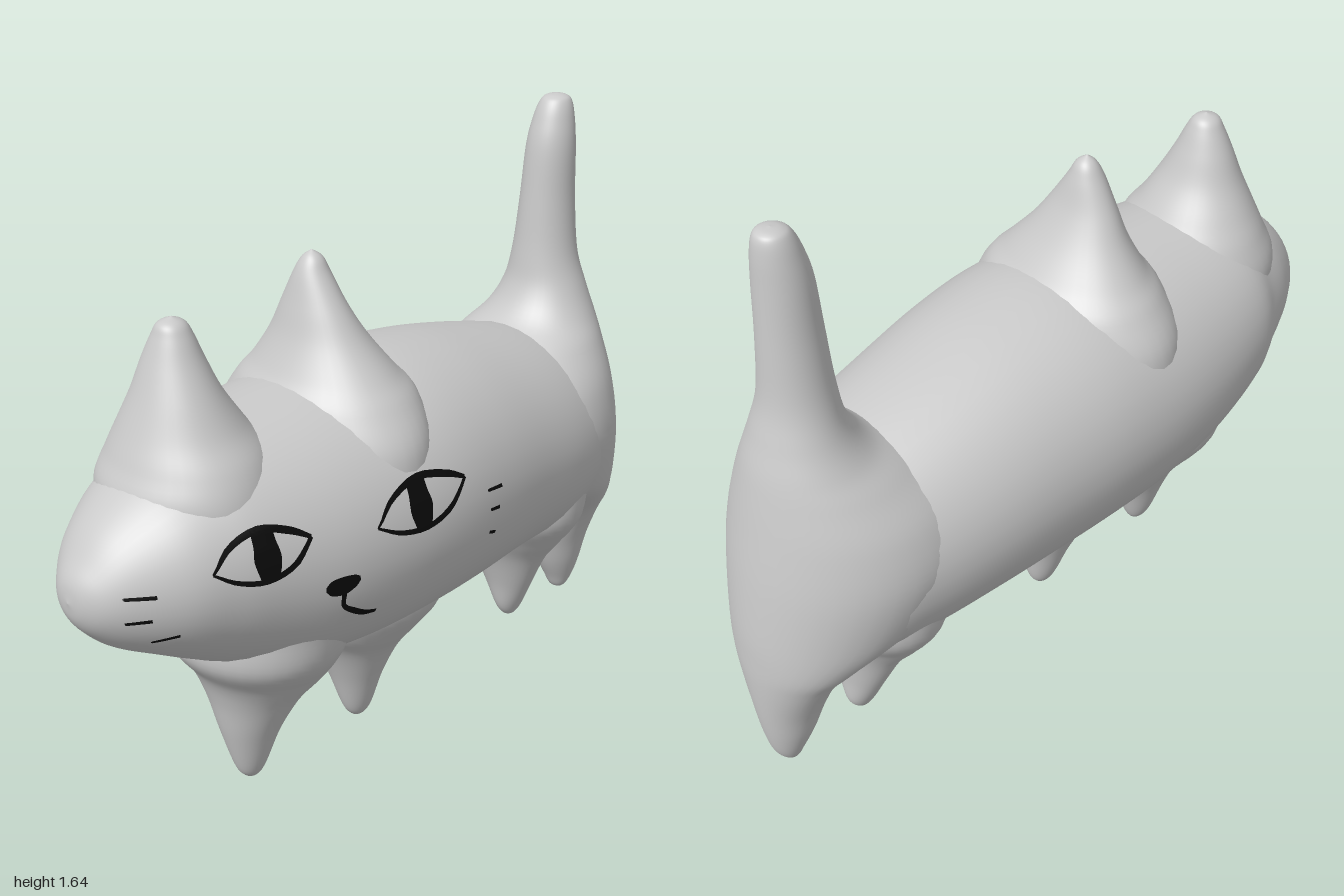
import * as THREE from 'three';

const RING = 40;

// Smooth closed loft. Rows: [position along axis, low edge, high edge, z centre, z half-depth]
function loft(axis, rows, steps = 6) {
  const curve = f => new THREE.CatmullRomCurve3(rows.map(f), false, 'catmullrom', 0.5);
  const edge = curve(r => new THREE.Vector3(r[0], r[1], r[2]));
  const depth = curve(r => new THREE.Vector3(r[3], r[4], 0));
  const n = (rows.length - 1) * steps, pos = [], idx = [];
  for (let i = 0; i <= n; i++) {
    const e = edge.getPoint(i / n), d = depth.getPoint(i / n);
    const mid = (e.y + e.z) / 2, half = Math.max((e.z - e.y) / 2, 0);
    for (let j = 0; j < RING; j++) {
      const a = j / RING * Math.PI * 2;
      const side = mid + half * Math.cos(a), z = Math.max(d.y, 0) * Math.sin(a);
      if (axis === 'x') pos.push(e.x, side, d.x - z);
      else pos.push(side, e.x, d.x + z);
      if (i < n) {
        const k = (j + 1) % RING, p = i * RING, q = p + RING;
        idx.push(p + j, q + j, q + k, p + j, q + k, p + k);
      }
    }
  }
  const g = new THREE.BufferGeometry();
  g.setAttribute('position', new THREE.Float32BufferAttribute(pos, 3));
  g.setIndex(idx);
  g.computeVertexNormals();
  return g;
}

export function createModel() {
  const group = new THREE.Group();
  const fur = new THREE.MeshStandardMaterial({ color: 0xcacaca });
  fur.name = 'grey fur';
  const ink = new THREE.MeshStandardMaterial({ color: 0x0a0a0a, side: THREE.DoubleSide });
  ink.name = 'black ink';

  const plush = [];
  const part = (name, axis, rows) => {
    const m = new THREE.Mesh(loft(axis, rows), fur);
    m.name = name;
    group.add(m);
    plush.push(m);
  };

  // Long padded body, nose end at -x
  part('body', 'x', [
    [-1, 0.76, 0.76, 0.03, 0], [-0.99, 0.71, 0.81, 0.03, 0.05], [-0.96, 0.665, 0.855, 0.03, 0.1],
    [-0.9, 0.61, 0.925, 0.025, 0.16], [-0.8, 0.555, 1.0, 0.025, 0.23], [-0.7, 0.5, 1.05, 0.02, 0.275],
    [-0.6, 0.45, 1.085, 0.01, 0.315], [-0.4, 0.385, 1.1, 0.01, 0.362], [-0.2, 0.36, 1.11, 0.005, 0.385],
    [0, 0.355, 1.12, -0.002, 0.388], [0.2, 0.355, 1.1, -0.012, 0.373], [0.4, 0.36, 1.06, -0.025, 0.35],
    [0.6, 0.36, 1.01, -0.032, 0.32], [0.75, 0.38, 0.96, -0.04, 0.28], [0.85, 0.45, 0.9, -0.04, 0.21],
    [0.93, 0.66, 0.7, -0.04, 0.03]]);

  // Rump running from the last leg up into the upright tail
  part('rumpAndTail', 'y', [
    [0.03, 0.915, 0.915, -0.04, 0], [0.04, 0.89, 0.935, -0.04, 0.025], [0.08, 0.868, 0.96, -0.04, 0.045],
    [0.15, 0.832, 0.977, -0.04, 0.07], [0.25, 0.795, 0.99, -0.04, 0.1], [0.36, 0.755, 0.997, -0.04, 0.15],
    [0.44, 0.66, 0.997, -0.04, 0.205], [0.54, 0.45, 0.992, -0.04, 0.265], [0.7, 0.32, 0.973, -0.04, 0.305],
    [0.84, 0.36, 0.95, -0.04, 0.28], [0.95, 0.5, 0.93, -0.04, 0.215], [1.02, 0.61, 0.915, -0.04, 0.165],
    [1.1, 0.665, 0.892, -0.04, 0.125], [1.2, 0.684, 0.868, -0.042, 0.095], [1.35, 0.697, 0.858, -0.042, 0.078],
    [1.5, 0.71, 0.851, -0.04, 0.07], [1.58, 0.73, 0.847, -0.04, 0.058], [1.625, 0.75, 0.84, -0.04, 0.044],
    [1.64, 0.77, 0.825, -0.04, 0.028], [1.645, 0.798, 0.798, -0.04, 0]]);

  // Ears with wide bases melting into the back
  part('rightEar', 'y', [
    [0.85, -0.8, -0.42, 0.01, 0.25], [0.95, -0.83, -0.41, 0.01, 0.24], [1.03, -0.8, -0.43, 0.01, 0.21],
    [1.1, -0.77, -0.475, 0.005, 0.165], [1.18, -0.737, -0.527, 0.005, 0.12], [1.26, -0.706, -0.56, 0, 0.082],
    [1.32, -0.682, -0.583, 0, 0.053], [1.35, -0.667, -0.6, 0, 0.033], [1.365, -0.632, -0.632, 0, 0]]);
  part('leftEar', 'y', [
    [0.85, -0.38, 0.06, 0.005, 0.34], [0.97, -0.37, 0.06, 0.005, 0.325], [1.06, -0.345, 0.05, 0.005, 0.27],
    [1.12, -0.305, 0.0, 0.005, 0.215], [1.2, -0.267, -0.058, 0, 0.15], [1.28, -0.243, -0.102, -0.005, 0.1],
    [1.36, -0.22, -0.13, -0.01, 0.052], [1.4, -0.2, -0.148, -0.01, 0.028], [1.42, -0.176, -0.176, -0.01, 0]]);

  // Tapered legs: tip x, tip y, then low/high x edges up the leg, and z centre
  const leg = (name, x, y, e, zc) => part(name, 'y', [
    [y, x, x, zc, 0], [y + 0.012, x - 0.025, x + 0.022, zc, 0.02], [y + 0.05, x - 0.05, x + 0.043, zc, 0.042],
    [0.17, e[0], e[1], zc, 0.085], [0.28, e[2], e[3], zc, 0.14],
    [0.36, e[4], e[5], zc, 0.2], [0.45, e[6], e[7], zc, 0.26], [0.56, e[6], e[7], zc, 0.28]]);
  leg('frontRightLeg', -0.45, 0.003, [-0.535, -0.365, -0.56, -0.305, -0.59, -0.24, -0.65, -0.2], 0.02);
  leg('frontLeftLeg', -0.04, 0.005, [-0.13, 0.028, -0.178, 0.066, -0.235, 0.115, -0.27, 0.17], 0.01);
  leg('hindRightLeg', 0.665, 0.03, [0.59, 0.715, 0.55, 0.729, 0.505, 0.75, 0.45, 0.8], -0.03);

  // Face markings laid on the front surface
  group.updateMatrixWorld(true);
  const ray = new THREE.Raycaster(), forward = new THREE.Vector3(0, 0, -1);
  const frontZ = (x, y) => {
    ray.set(new THREE.Vector3(x, y, 2), forward);
    const hit = ray.intersectObjects(plush, false)[0];
    return (hit ? hit.point.z : 0) + 0.006;
  };

  // Ribbon through [x, y, width] points, draped over the fur
  const stroke = (name, pts, n = 14) => {
    const c = new THREE.CatmullRomCurve3(pts.map(p => new THREE.Vector3(...p)), false, 'catmullrom', 0.5);
    const pos = [], idx = [], across = 4;
    for (let i = 0; i <= n; i++) {
      const p = c.getPoint(i / n), t = c.getTangent(i / n);
      const l = Math.hypot(t.x, t.y) || 1;
      for (let j = 0; j <= across; j++) {
        const w = (j / across - 0.5) * p.z;
        const x = p.x - t.y / l * w, y = p.y + t.x / l * w;
        pos.push(x, y, frontZ(x, y));
        if (i < n && j < across) {
          const a = i * (across + 1) + j, b = a + across + 1;
          idx.push(a, b, b + 1, a, b + 1, a + 1);
        }
      }
    }
    const g = new THREE.BufferGeometry();
    g.setAttribute('position', new THREE.Float32BufferAttribute(pos, 3));
    g.setIndex(idx);
    g.computeVertexNormals();
    const m = new THREE.Mesh(g, ink);
    m.name = name;
    group.add(m);
  };

  // Almond eyes with upright pupils
  for (const [side, x0, x1, xp, w] of [['right', -0.76, -0.51, -0.628, 0.068], ['left', -0.325, -0.01, -0.178, 0.075]]) {
    const at = f => x0 + (x1 - x0) * f;
    stroke(side + 'UpperLid', [[x0, 0.835, 0.006], [at(0.2), 0.888, 0.014], [at(0.5), 0.914, 0.016],
      [at(0.8), 0.895, 0.018], [x1, 0.868, 0.01]]);
    stroke(side + 'LowerLid', [[x0, 0.835, 0.006], [at(0.22), 0.803, 0.012], [at(0.5), 0.79, 0.015],
      [at(0.78), 0.812, 0.016], [x1, 0.868, 0.01]]);
    stroke(side + 'Pupil', [[xp, 0.915, w * 0.8], [xp, 0.88, w * 0.85], [xp, 0.84, w], [xp, 0.79, w * 0.65]]);
  }

  // Nose and mouth
  stroke('nose', [[-0.485, 0.722, 0.012], [-0.47, 0.722, 0.042], [-0.435, 0.72, 0.052],
    [-0.405, 0.725, 0.036], [-0.39, 0.728, 0.012]]);
  stroke('mouth', [[-0.434, 0.7, 0.014], [-0.43, 0.66, 0.012], [-0.4, 0.635, 0.016],
    [-0.36, 0.612, 0.016], [-0.32, 0.602, 0.01]]);

  // Whiskers
  for (const [x0, y0, x1, y1] of [
    [-0.935, 0.795, -0.875, 0.797], [-0.935, 0.73, -0.885, 0.735], [-0.875, 0.664, -0.825, 0.681],
    [0.07, 0.803, 0.135, 0.795], [0.08, 0.746, 0.12, 0.74], [0.08, 0.68, 0.11, 0.669]]) {
    stroke('whisker', [[x0, y0, 0.008], [x1, y1, 0.01]], 4);
  }
  return group;
}
